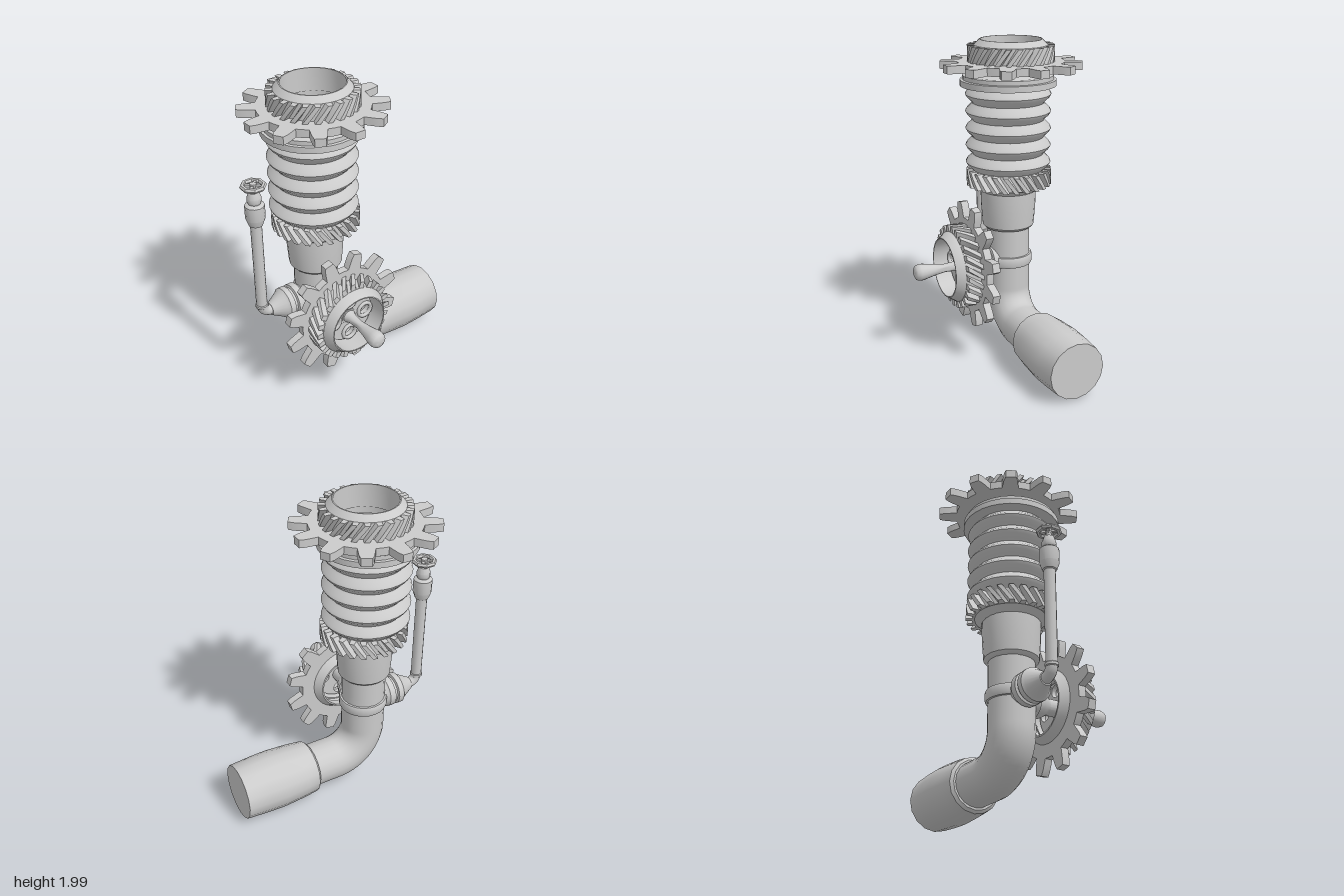
import * as THREE from 'three';
import { toCreasedNormals } from 'three/addons/utils/BufferGeometryUtils.js';

const material = new THREE.MeshStandardMaterial({ color: 0xcccccc, side: THREE.DoubleSide });

function add(parent, name, geometry, x = 0, y = 0, z = 0) {
  const mesh = new THREE.Mesh(geometry, material);
  mesh.name = name;
  mesh.position.set(x, y, z);
  parent.add(mesh);
  return mesh;
}

// Turned part around y from [radius, height] pairs
function turned(points, sides = 32, crease = 0.6) {
  const profile = points.map(([r, y]) => new THREE.Vector2(r, y));
  return toCreasedNormals(new THREE.LatheGeometry(profile, sides), crease);
}

// Toothed ring; profile lists [radius, half angle] from root to tip; twist makes it helical
function toothedRing(count, profile, bore, depth, offset = 0, twist = 0) {
  const shape = new THREE.Shape();
  const pitch = (Math.PI * 2) / count;
  const points = [];
  for (let i = 0; i < count; i++) {
    const mid = offset + i * pitch;
    const put = (r, a) => points.push(new THREE.Vector2(r * Math.cos(mid + a), r * Math.sin(mid + a)));
    for (const [r, a] of profile) put(r, -a);
    for (const [r, a] of [...profile].reverse()) put(r, a);
    put(profile[0][0], pitch / 2);
  }
  shape.setFromPoints(points);
  shape.holes.push(new THREE.Path().absarc(0, 0, bore, 0, Math.PI * 2, true));
  const geometry = new THREE.ExtrudeGeometry(shape, {
    depth, steps: twist ? 4 : 1, bevelEnabled: false, curveSegments: 18,
  });
  const p = geometry.attributes.position;
  for (let i = 0; i < p.count; i++) {
    const a = (p.getZ(i) / depth) * twist, c = Math.cos(a), s = Math.sin(a);
    const x = p.getX(i), y = p.getY(i);
    p.setXY(i, x * c - y * s, x * s + y * c);
  }
  geometry.rotateX(-Math.PI / 2);
  return toCreasedNormals(geometry, 0.4);
}

const spurGear = (scale, offset) => toothedRing(12,
  [[0.325, 0.15], [0.36, 0.125], [0.4, 0.1], [0.43, 0.07]].map(([r, a]) => [r * scale, a]), 0.19, 0.048, offset);
const helicalGear = (twist) => toothedRing(24, [[0.225, 0.08], [0.265, 0.055]], 0.186, 0.1, 0, twist);

// Spur gear, helical gear and bevelled lip stacked along y
function gearStack(name, scale, offset, lip) {
  const group = new THREE.Group();
  group.name = name;
  add(group, 'spurGear', spurGear(scale, offset));
  add(group, 'helicalGear', helicalGear(0.28), 0, 0.046, 0);
  add(group, 'bevelledLip', turned([[0.185, 0.04], [0.225, 0.04], [0.225, 0.145], [0.19, 0.145 + lip],
    [0.183, 0.145 + lip], [0.183, 0.04]]));
  return group;
}

export function createModel() {
  const model = new THREE.Group();
  const cx = -0.21, cz = -0.107;

  // Top gear ring
  const topGear = gearStack('topGear', 1, 0, 0.035);
  topGear.position.set(-0.188, 1.82, -0.115);
  model.add(topGear);

  // Flange and bellows
  add(model, 'topFlange', turned([[0, 1.715], [0.295, 1.72], [0.295, 1.757], [0.28, 1.76],
    [0.28, 1.785], [0.27, 1.79], [0, 1.79]]), cx, 0, cz);
  const folds = [];
  for (let i = 0; i < 5; i++) {
    const y = 1.245 + i * 0.106;
    folds.push([0.222, y - 0.053], [0.232, y - 0.04], [0.255, y - 0.018], [0.265, y],
      [0.255, y + 0.018], [0.232, y + 0.04]);
  }
  folds.push([0.222, 1.722]);
  add(model, 'bellows', turned(folds, 32, 0.9), cx, 0, cz);

  // Lower helical collar
  add(model, 'lowerHelicalGear', helicalGear(-0.28), -0.2, 1.1, cz);
  add(model, 'lowerCollar', turned([[0, 1.062], [0.175, 1.062], [0.215, 1.1], [0.225, 1.2], [0, 1.2]]), -0.205, 0, cz);

  // Column sleeve and pipe clamp
  add(model, 'columnSleeve', turned([[0.135, 0.815], [0.15, 0.82], [0.163, 0.835], [0.172, 0.95],
    [0.176, 1.065]], 24), cx, 0, cz);
  add(model, 'pipeClamp', turned([[0.13, 0.57], [0.148, 0.572], [0.153, 0.585], [0.153, 0.625],
    [0.148, 0.638], [0.13, 0.64]], 24), cx, 0, cz);

  // Bent main pipe
  const path = new THREE.CurvePath();
  const v = (x, y) => new THREE.Vector3(x, y, cz);
  const bend = 0.22, low = 0.195, k = bend * 0.448;
  path.add(new THREE.LineCurve3(v(cx, 0.85), v(cx, low + bend)));
  path.add(new THREE.CubicBezierCurve3(v(cx, low + bend), v(cx, low + k), v(cx + k, low), v(cx + bend, low)));
  path.add(new THREE.LineCurve3(v(cx + bend, low), v(0.2, low)));
  add(model, 'bentPipe', new THREE.TubeGeometry(path, 48, 0.137, 20, false));

  // Barrel-shaped outlet
  const outlet = add(model, 'outletBarrel', turned([[0, 0], [0.15, 0], [0.168, 0.015], [0.178, 0.1], [0.187, 0.25],
    [0.184, 0.36], [0.175, 0.505], [0, 0.505]], 16, 0.7), 0.173, low, cz);
  outlet.rotation.z = -Math.PI / 2;

  // Front gear assembly, built along y and turned to face forward
  const front = new THREE.Group();
  front.name = 'frontGearAssembly';
  front.position.set(cx, 0.6, 0);
  front.rotation.x = Math.PI / 2;
  model.add(front);
  const frontGear = gearStack('frontGear', 0.93, Math.PI / 12, 0.055);
  frontGear.position.y = 0.14;
  front.add(frontGear);
  add(front, 'rearBevel', turned([[0.183, 0.15], [0.175, 0.09], [0.185, 0.09], [0.222, 0.142]]));
  add(front, 'gearStem', turned([[0, -0.05], [0.1, -0.05], [0.1, 0.035], [0.085, 0.04], [0.085, 0.07],
    [0.07, 0.1], [0.05, 0.13], [0.05, 0.24], [0, 0.24]], 20));

  // Wheel plate with four rimmed openings
  const plate = new THREE.Shape().absarc(0, 0, 0.168, 0, Math.PI * 2);
  const spots = [0, 1, 2, 3].map((i) => [0.115 * Math.cos(i * Math.PI / 2), 0.115 * Math.sin(i * Math.PI / 2)]);
  for (const [x, y] of spots) plate.holes.push(new THREE.Path().absarc(x, y, 0.04, 0, Math.PI * 2, true));
  const plateGeometry = new THREE.ExtrudeGeometry(plate, { depth: 0.035, bevelEnabled: false, curveSegments: 16 });
  add(front, 'wheelPlate', toCreasedNormals(plateGeometry.rotateX(-Math.PI / 2), 0.5), 0, 0.2, 0);
  for (const [x, z] of spots) {
    add(front, 'openingRim', new THREE.TorusGeometry(0.046, 0.012, 8, 20).rotateX(Math.PI / 2), x, 0.24, z);
  }
  add(front, 'handle', turned([[0.045, 0.23], [0.03, 0.27], [0.026, 0.34], [0.036, 0.41], [0.05, 0.48],
    [0.053, 0.505], [0.045, 0.53], [0.025, 0.54], [0, 0.541]], 16, 0.9));

  // Side branch fitting on the column
  const branch = add(model, 'branchFitting', turned([[0.075, 0.08], [0.09, 0.14], [0.1, 0.15], [0.1, 0.19],
    [0.085, 0.195], [0.085, 0.21], [0.1, 0.215], [0.1, 0.25], [0.085, 0.265], [0.04, 0.345], [0, 0.345]], 20),
  cx, 0.6, cz);
  branch.rotation.z = Math.PI / 2;

  // Thin side pipe with elbow
  const sx = -0.61, sidePath = new THREE.CurvePath();
  sidePath.add(new THREE.LineCurve3(v(-0.49, 0.6), v(-0.54, 0.6)));
  sidePath.add(new THREE.QuadraticBezierCurve3(v(-0.54, 0.6), v(sx, 0.6), v(sx, 0.67)));
  sidePath.add(new THREE.LineCurve3(v(sx, 0.67), v(sx, 1.26)));
  add(model, 'sidePipe', new THREE.TubeGeometry(sidePath, 40, 0.034, 12, false));
  add(model, 'elbowCollar', turned([[0.034, 0.645], [0.039, 0.65], [0.039, 0.665], [0.034, 0.67]], 12), sx, 0, cz);

  // Valve body and hand wheel on the side pipe
  add(model, 'valveBody', turned([[0.034, 1.235], [0.042, 1.24], [0.058, 1.285], [0.058, 1.37], [0.05, 1.378],
    [0.036, 1.382], [0.042, 1.395], [0.042, 1.42], [0.03, 1.455], [0.017, 1.46], [0.017, 1.5], [0, 1.5]], 12), sx, 0, cz);
  const wheel = new THREE.Group();
  wheel.name = 'handWheel';
  wheel.position.set(sx, 1.493, cz);
  add(wheel, 'wheelRim', toCreasedNormals(new THREE.TorusGeometry(0.062, 0.015, 6, 8)
    .rotateX(Math.PI / 2).rotateY(Math.PI / 8), 0.5));
  for (let i = 0; i < 2; i++) {
    add(wheel, 'wheelSpoke', new THREE.BoxGeometry(0.115, 0.014, 0.018)).rotation.y = Math.PI / 4 + i * Math.PI / 2;
  }
  add(wheel, 'wheelHub', new THREE.CylinderGeometry(0.02, 0.02, 0.03, 8));
  model.add(wheel);

  return model;
}
